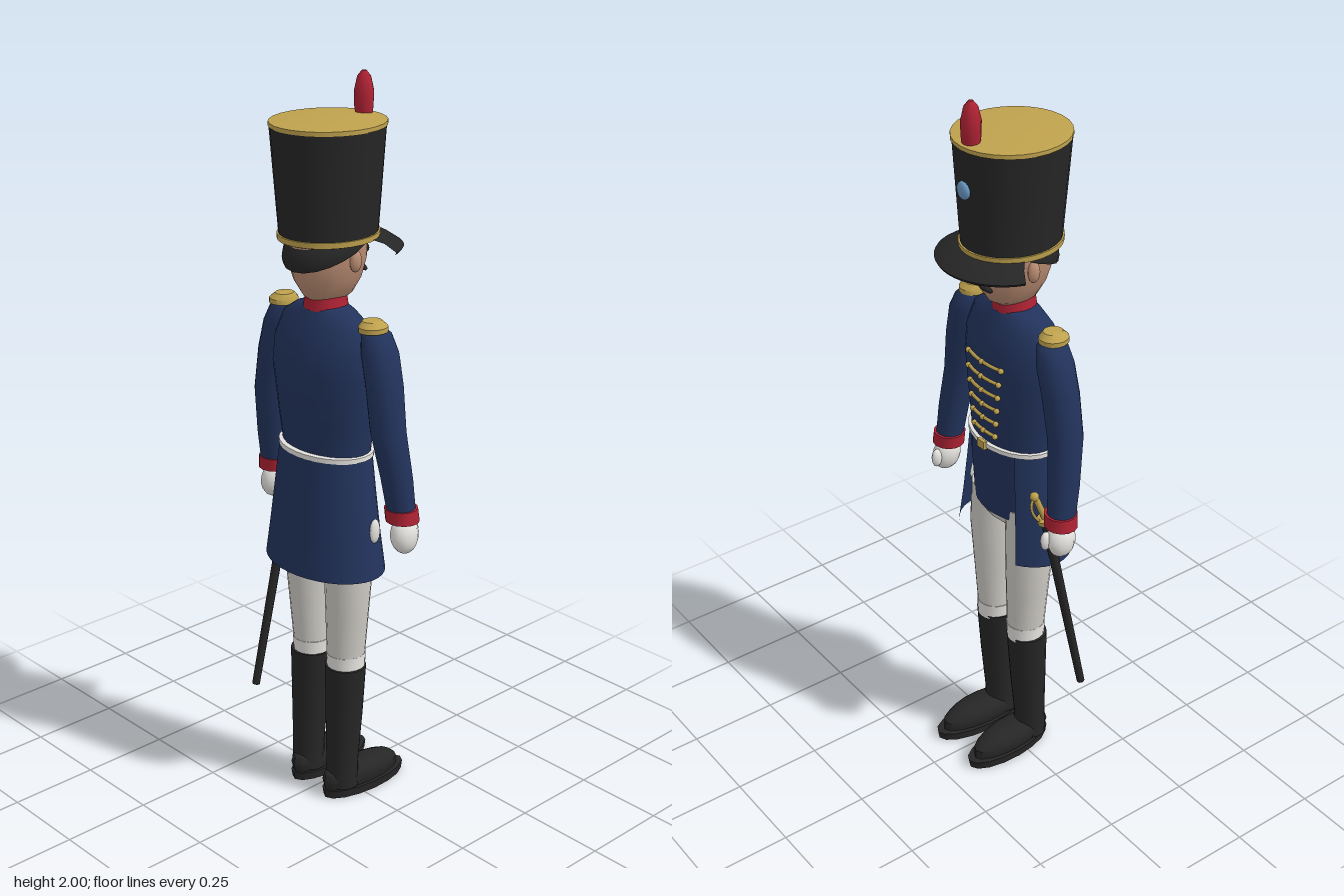
import * as THREE from 'three';
import { toCreasedNormals } from 'three/addons/utils/BufferGeometryUtils.js';

const paint = (name, color, side = THREE.FrontSide) => {
  const m = new THREE.MeshStandardMaterial({ color, side });
  m.name = name;
  return m;
};

// Skin of elliptical rings [y, centreX, centreZ, radiusX, radiusZ], listed upwards
function loft(rings, n = 20, start = 0, length = Math.PI * 2) {
  const pos = [], index = [];
  for (const [y, cx, cz, rx, rz] of rings) {
    for (let i = 0; i <= n; i++) {
      const a = start + length * i / n;
      pos.push(cx + rx * Math.sin(a), y, cz + rz * Math.cos(a));
    }
  }
  for (let j = 0; j < rings.length - 1; j++) {
    for (let i = 0; i < n; i++) {
      const a = j * (n + 1) + i, b = a + 1, c = a + n + 1, d = c + 1;
      index.push(a, b, d, a, d, c);
    }
  }
  const g = new THREE.BufferGeometry();
  g.setAttribute('position', new THREE.Float32BufferAttribute(pos, 3));
  g.setIndex(index);
  return toCreasedNormals(g, 0.7);
}

// Loft closed at both ends
function solid(rings, n) {
  const close = ([y, cx, cz]) => [y, cx, cz, 0, 0];
  return loft([close(rings[0]), ...rings, close(rings[rings.length - 1])], n);
}

const ball = (rx, ry, rz, w = 16, h = 12) => new THREE.SphereGeometry(1, w, h).scale(rx, ry, rz);

function rod(from, to, r0, r1, n = 10) {
  const a = new THREE.Vector3(...from), b = new THREE.Vector3(...to);
  const dir = b.clone().sub(a);
  const g = new THREE.CylinderGeometry(r1, r0, dir.length(), n);
  g.applyQuaternion(new THREE.Quaternion().setFromUnitVectors(new THREE.Vector3(0, 1, 0), dir.normalize()));
  const m = a.add(b).multiplyScalar(0.5);
  return g.translate(m.x, m.y, m.z);
}

export function createModel() {
  const root = new THREE.Group();
  root.name = 'toySoldier';
  const coat = paint('coatBlue', 0x22335c, THREE.DoubleSide);
  const black = paint('black', 0x262626, THREE.DoubleSide);
  const red = paint('red', 0xae2233);
  const gold = paint('gold', 0xbfa24e);
  const white = paint('white', 0xeceae6);
  const trouser = paint('trouserGrey', 0xcfccc6);
  const skin = paint('skin', 0xbc8e74);
  const blue = paint('paleBlue', 0x6a98c4);

  const add = (name, geometry, material, x = 0, y = 0, z = 0, parent = root) => {
    const m = new THREE.Mesh(geometry, material);
    m.name = name;
    m.position.set(x, y, z);
    parent.add(m);
    return m;
  };

  // Jacket body and open-fronted skirt
  const body = [
    [0.81, 0, 0.035, 0.132, 0.088], [0.95, 0, 0.035, 0.142, 0.095], [1.03, 0, 0.033, 0.139, 0.093],
    [1.12, 0, 0.036, 0.15, 0.1], [1.25, 0, 0.038, 0.168, 0.107], [1.32, 0, 0.037, 0.165, 0.098],
    [1.38, 0, 0.035, 0.145, 0.072], [1.41, 0, 0.035, 0.1, 0.056], [1.425, 0, 0.035, 0.05, 0.048],
  ];
  add('jacket', solid(body, 28), coat);
  add('coatSkirt', loft([
    [0.7, 0, 0.04, 0.19, 0.132], [0.8, 0, 0.04, 0.174, 0.122],
    [0.92, 0, 0.039, 0.157, 0.112], [1.03, 0, 0.037, 0.143, 0.102],
  ], 28, -(Math.PI - 0.75), Math.PI * 2 - 1.5), coat);
  add('belt', loft([
    [1.022, 0, 0.035, 0.14, 0.095], [1.024, 0, 0.035, 0.148, 0.105],
    [1.037, 0, 0.035, 0.148, 0.105], [1.039, 0, 0.035, 0.135, 0.09],
  ], 28), white);
  add('buckle', new THREE.BoxGeometry(0.03, 0.024, 0.01), gold, 0, 1.03, -0.071);
  add('hipPatch', ball(0.01, 0.035, 0.018, 8, 6), white, 0.172, 0.83, 0.02);

  // Chest braid, following the curve of the jacket
  for (let i = 0; i < 6; i++) {
    const y = 1.07 + i * 0.042, w = 0.045 + i * 0.005;
    const k = body.findIndex(r => r[0] > y), lo = body[k - 1], hi = body[k];
    const t = (y - lo[0]) / (hi[0] - lo[0]);
    const [cz, rx, rz] = [2, 3, 4].map(c => lo[c] + (hi[c] - lo[c]) * t);
    const pts = [-1, -0.5, 0, 0.5, 1].map(u => new THREE.Vector3(
      u * w, y, cz - rz * Math.sqrt(1 - (u * w / rx) ** 2) - 0.003));
    add('braid', new THREE.TubeGeometry(new THREE.CatmullRomCurve3(pts), 10, 0.005, 6), gold);
    for (const j of [0, 2, 4]) add('braidButton', ball(0.008, 0.008, 0.008, 8, 6), gold, pts[j].x, y, pts[j].z - 0.002);
  }

  // Arms and legs
  for (const s of [1, -1]) {
    const side = s > 0 ? 'left' : 'right';
    const arm = new THREE.Group();
    arm.name = side + 'Arm';
    root.add(arm);
    add('sleeve', solid([
      [0.9, s * 0.25, 0, 0.038, 0.038], [1.0, s * 0.243, 0.012, 0.042, 0.043],
      [1.13, s * 0.226, 0.028, 0.046, 0.048], [1.25, s * 0.207, 0.025, 0.049, 0.05],
      [1.33, s * 0.187, 0.022, 0.049, 0.05], [1.375, s * 0.174, 0.022, 0.038, 0.042],
      [1.4, s * 0.168, 0.024, 0.018, 0.02],
    ], 14), coat, 0, 0, 0, arm);
    add('cuff', solid([
      [0.882, s * 0.252, -0.002, 0.046, 0.044], [0.918, s * 0.248, 0, 0.045, 0.044],
    ], 14), red, 0, 0, 0, arm);
    const hand = add('glove', ball(0.033, 0.052, 0.042, 12, 10), white, s * 0.257, 0.842, -0.005, arm);
    hand.rotation.z = s * 0.12;
    add('thumb', ball(0.013, 0.028, 0.016, 8, 6), white, s * 0.246, 0.845, -0.047, arm);
    add('epaulette', solid([
      [1.385, s * 0.17, 0.03, 0.037, 0.04], [1.398, s * 0.17, 0.03, 0.037, 0.04],
      [1.412, s * 0.166, 0.03, 0.024, 0.026],
    ], 16), gold, 0, 0, 0, arm);

    const leg = new THREE.Group();
    leg.name = side + 'Leg';
    root.add(leg);
    add('trouserLeg', solid([
      [0.42, s * 0.068, 0.026, 0.051, 0.053], [0.56, s * 0.074, 0.027, 0.058, 0.06],
      [0.7, s * 0.08, 0.028, 0.066, 0.067], [0.84, s * 0.077, 0.032, 0.062, 0.069],
    ], 18), trouser, 0, 0, 0, leg);
    add('kneeBand', solid([
      [0.39, s * 0.069, 0.026, 0.052, 0.053], [0.438, s * 0.068, 0.026, 0.053, 0.055],
    ], 18), white, 0, 0, 0, leg);
    add('boot', solid([
      [0.03, s * 0.07, 0.042, 0.048, 0.045], [0.1, s * 0.07, 0.041, 0.046, 0.043],
      [0.25, s * 0.07, 0.034, 0.053, 0.05], [0.4, s * 0.07, 0.029, 0.058, 0.056],
    ], 18), black, 0, 0, 0, leg);
    const foot = new THREE.Group();
    foot.name = 'foot';
    foot.position.set(s * 0.069, 0, 0);
    foot.rotation.y = -s * 0.05;
    leg.add(foot);
    add('sole', solid([[0, 0, -0.038, 0.053, 0.138], [0.024, 0, -0.038, 0.055, 0.142]], 16), black, 0, 0, 0, foot);
    add('shoe', solid([
      [0.024, 0, -0.03, 0.045, 0.128], [0.05, 0, -0.026, 0.052, 0.13],
      [0.07, 0, -0.018, 0.044, 0.115], [0.08, 0, -0.01, 0.028, 0.09],
    ], 16), black, 0, 0, 0, foot);

    // Paired face parts
    add(side + 'Ear', ball(0.014, 0.03, 0.018, 8, 8), skin, s * 0.096, 1.55, 0.022);
    add(side + 'Eye', ball(0.012, 0.013, 0.007, 10, 8), black, s * 0.034, 1.555, -0.072);
    const tash = add(side + 'Moustache', ball(0.024, 0.008, 0.009, 10, 6), black, s * 0.021, 1.503, -0.072);
    tash.rotation.set(0, -s * 0.2, -s * 0.2);
  }
  add('trouserSeat', ball(0.125, 0.06, 0.08), trouser, 0, 0.81, 0.035);

  // Head
  add('collar', solid([[1.413, 0, 0.035, 0.06, 0.058], [1.452, 0, 0.035, 0.053, 0.054]], 18), red);
  add('head', solid([
    [1.43, 0, 0.03, 0.035, 0.045], [1.45, 0, 0.028, 0.056, 0.072], [1.49, 0, 0.028, 0.077, 0.096],
    [1.54, 0, 0.03, 0.092, 0.109], [1.6, 0, 0.03, 0.095, 0.11],
  ], 22), skin);
  add('nose', ball(0.012, 0.018, 0.016, 8, 8), skin, 0, 1.535, -0.083);
  const hair = add('hair', new THREE.SphereGeometry(1, 20, 8, 0, Math.PI * 2, 0, Math.PI / 2)
    .scale(0.108, 0.08, 0.128), black, 0, 1.575, 0.03);
  hair.rotation.x = 0.4;

  // Tall cap with visor, trims, cockade and plume
  add('cap', solid([[1.595, 0, 0.025, 0.118, 0.133], [1.885, 0, 0.027, 0.142, 0.152]], 28), black);
  add('capBand', solid([[1.597, 0, 0.025, 0.123, 0.138], [1.612, 0, 0.025, 0.124, 0.139]], 28), gold);
  add('capTop', solid([
    [1.882, 0, 0.026, 0.144, 0.154], [1.893, 0, 0.026, 0.144, 0.154], [1.898, 0, 0.026, 0.08, 0.085],
  ], 28), gold);
  add('visor', loft([
    [1.563, 0, 0, 0.168, 0.17], [1.57, 0, 0, 0.173, 0.174],
    [1.59, 0, 0.008, 0.145, 0.153], [1.602, 0, 0.025, 0.115, 0.13],
  ], 18, Math.PI - 1.25, 2.5), black);
  add('cockade', ball(0.024, 0.024, 0.012, 12, 8), blue, 0, 1.775, -0.12);
  add('plume', solid([
    [1.87, 0, -0.096, 0.019, 0.019], [1.91, 0, -0.096, 0.025, 0.025], [1.95, 0, -0.096, 0.026, 0.026],
    [1.985, 0, -0.096, 0.018, 0.018], [2.0, 0, -0.096, 0.006, 0.006],
  ], 12), red);

  // Sword in its scabbard
  const sword = new THREE.Group();
  sword.name = 'sword';
  root.add(sword);
  add('scabbard', rod([-0.205, 0.26, 0.12], [-0.181, 0.85, 0.005], 0.011, 0.014), black, 0, 0, 0, sword);
  add('guard', rod([-0.181, 0.848, 0.006], [-0.18, 0.862, 0.002], 0.024, 0.024, 12), gold, 0, 0, 0, sword);
  add('grip', rod([-0.18, 0.86, 0.002], [-0.168, 0.93, -0.022], 0.009, 0.009), gold, 0, 0, 0, sword);
  add('pommel', ball(0.013, 0.013, 0.013, 10, 8), gold, -0.167, 0.932, -0.024, sword);
  const bow = new THREE.QuadraticBezierCurve3(new THREE.Vector3(-0.18, 0.86, -0.018),
    new THREE.Vector3(-0.178, 0.9, -0.055), new THREE.Vector3(-0.167, 0.932, -0.026));
  add('knuckleBow', new THREE.TubeGeometry(bow, 8, 0.004, 6), gold, 0, 0, 0, sword);

  return root;
}
